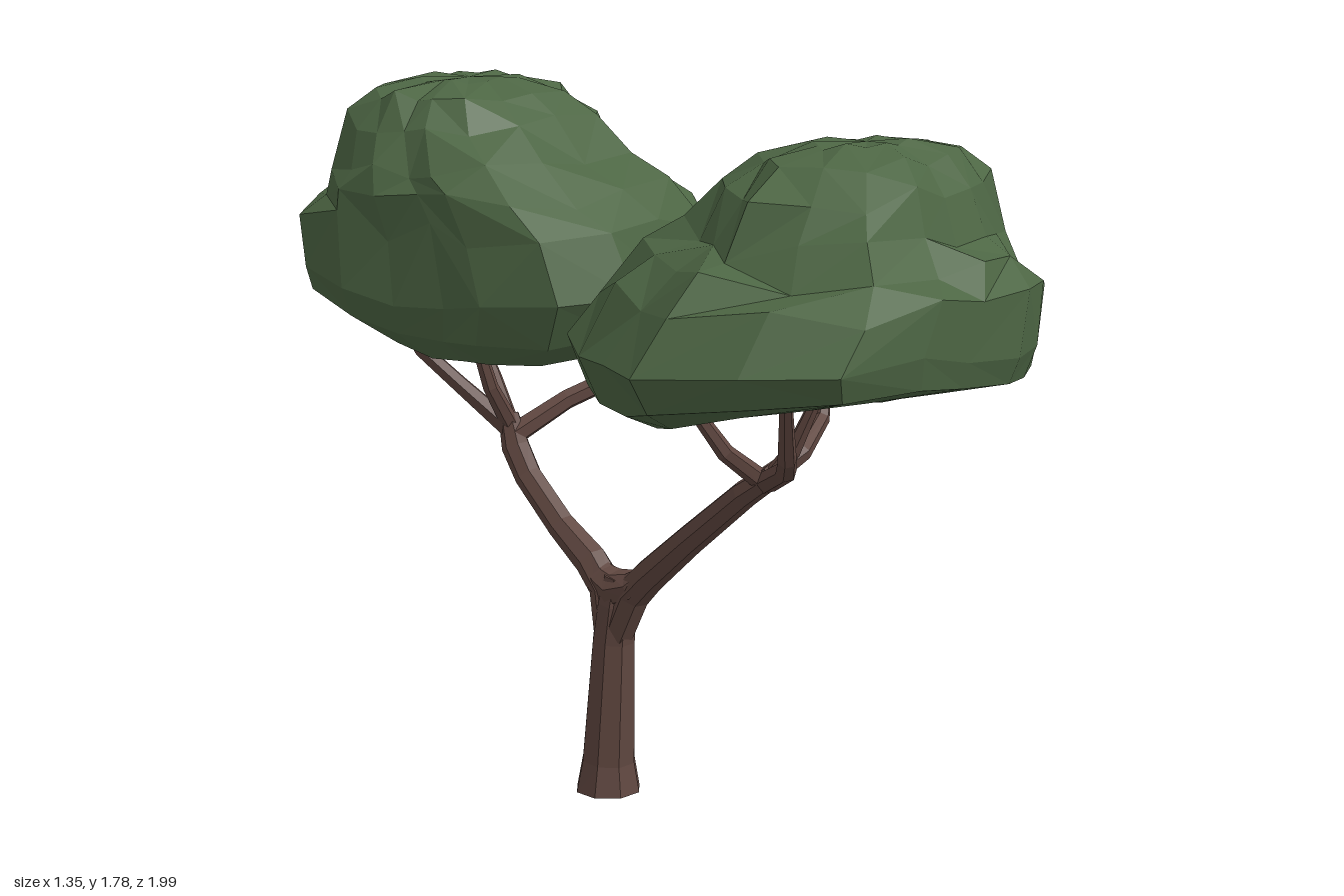
import * as THREE from 'three';

const V = (x, y, z) => new THREE.Vector3(x, y, z);

// Small seeded generator for the uneven leaf surface
function seeded(seed) {
  return () => (seed = (seed * 16807) % 2147483647) / 2147483647;
}

// Skins closed rings (counter-clockwise about the path) with flat facets and end caps
function loft(rings, flip = () => false) {
  const pos = [];
  const tri = (...pts) => pts.forEach((p) => pos.push(p.x, p.y, p.z));
  const middle = (ring) => ring.reduce((s, p) => s.add(p), V(0, 0, 0)).divideScalar(ring.length);
  const n = rings[0].length;
  const first = rings[0], last = rings[rings.length - 1];
  const c0 = middle(first), c1 = middle(last);
  for (let j = 0; j < n; j++) {
    const k = (j + 1) % n;
    tri(c0, first[k], first[j]);
    tri(c1, last[j], last[k]);
    for (let i = 0; i < rings.length - 1; i++) {
      const a = rings[i][j], b = rings[i][k], c = rings[i + 1][j], d = rings[i + 1][k];
      if (flip()) { tri(a, b, c); tri(b, d, c); } else { tri(a, b, d); tri(a, d, c); }
    }
  }
  const geo = new THREE.BufferGeometry();
  geo.setAttribute('position', new THREE.Float32BufferAttribute(pos, 3));
  geo.computeVertexNormals();
  return geo;
}

// Tapered limb through points given as [x, y, z, radius]
function limb(points, sides = 7) {
  const p = points.map(([x, y, z]) => V(x, y, z));
  let u = V(0.9, 0.1, 0.4);
  const rings = p.map((c, i) => {
    const ahead = p[Math.min(i + 1, p.length - 1)], behind = p[Math.max(i - 1, 0)];
    const t = i === 0 && points[0][1] === 0 ? V(0, 1, 0) : ahead.clone().sub(behind).normalize();
    u = u.clone().addScaledVector(t, -u.dot(t)).normalize();
    const v = t.clone().cross(u);
    return Array.from({ length: sides }, (_, j) => {
      const a = (j / sides) * Math.PI * 2, r = points[i][3];
      return c.clone().addScaledVector(u, r * Math.cos(a)).addScaledVector(v, r * Math.sin(a));
    });
  });
  return loft(rings);
}

// Plan outline of the crown, as x and z
const OUTLINE = [
  [-0.31, 0], [-0.47, 0.2], [-0.57, 0.38], [-0.68, 0.56], [-0.6, 0.79], [-0.49, 0.97],
  [-0.25, 1], [-0.08, 0.99], [0.1, 0.99], [0.26, 0.92], [0.42, 0.82], [0.48, 0.6],
  [0.45, 0.44], [0.42, 0.3], [0.41, 0.18], [0.33, 0], [0.12, -0.05], [-0.08, -0.03],
];

// Crown levels: y, x range, z range, roughness across, roughness in height
const LEVELS = [
  [1.04, -0.48, 0.37, 0.1, 0.78, 0, 0],
  [1.09, -0.64, 0.45, 0.01, 0.98, 0.02, 0.02],
  [1.19, -0.68, 0.48, -0.05, 1, 0.02, 0.05],
  [1.34, -0.59, 0.48, 0, 1, 0.03, 0.06],
  [1.42, -0.48, 0.48, 0.09, 0.94, 0.08, 0.06],
  [1.48, -0.41, 0.46, 0.19, 0.87, 0.08, 0.06],
  [1.58, -0.35, 0.41, 0.29, 0.83, 0.08, 0.05],
  [1.645, -0.24, 0.35, 0.35, 0.76, 0.06, 0.03],
  [1.675, -0.1, 0.2, 0.47, 0.68, 0.03, 0.02],
];

function crownGeometry(seed) {
  const rnd = seeded(seed);
  const rings = LEVELS.map(([y, x0, x1, z0, z1, across, height], i) => {
    const cx = (x0 + x1) / 2, cz = (z0 + z1) / 2;
    const tilt = Math.max(0, 1 - i / 4);
    return OUTLINE.map(([ox, oz]) => {
      const nx = (ox + 0.1) / 0.58, nz = (oz - 0.475) / 0.525;
      const x = cx + (nx * (x1 - x0)) / 2, z = cz + (nz * (z1 - z0)) / 2;
      // The upper levels are cut back at one outer corner
      const cut = i < 4 ? 0 : 0.15 * Math.max(0, nx) * Math.max(0, nz);
      const s = 1 - cut + across * (rnd() - (i < 4 ? 1 : 0.5));
      // Underside rises towards the outer end and the long lobe
      const lift = tilt * (0.13 * Math.max(0, (z - 0.45) / 0.55) ** 0.7 - 0.06 * x);
      return V(cx + (x - cx) * s, y + lift + (rnd() - 0.5) * height, cz + (z - cz) * s);
    });
  });
  return loft(rings, () => rnd() < 0.5);
}

export function createModel() {
  const bark = new THREE.MeshStandardMaterial({ color: 0x604740 });
  const leaves = new THREE.MeshStandardMaterial({ color: 0x4d6644 });
  bark.name = 'bark';
  leaves.name = 'leaves';

  const model = new THREE.Group();
  model.name = 'tree';
  const add = (name, geo, mat) => {
    const mesh = new THREE.Mesh(geo, mat);
    mesh.name = name;
    model.add(mesh);
    return mesh;
  };

  // Trunk with flared foot
  add('trunk', limb([
    [-0.025, 0, -0.145, 0.085], [-0.025, 0.08, -0.143, 0.07], [-0.03, 0.4, -0.118, 0.056],
    [-0.035, 0.5, -0.1, 0.052], [-0.035, 0.57, -0.09, 0.042],
  ], 8), bark);

  // Swelling that fills the fork
  add('fork', limb([
    [-0.035, 0.585, 0, 0.03], [-0.035, 0.55, -0.035, 0.045], [-0.035, 0.53, -0.1, 0.054],
    [-0.035, 0.55, -0.15, 0.045], [-0.035, 0.585, -0.19, 0.03],
  ], 8), bark);

  // Two main boughs
  add('frontBough', limb([
    [-0.035, 0.42, -0.105, 0.045], [-0.035, 0.53, -0.05, 0.046], [-0.035, 0.585, 0.005, 0.043],
    [-0.035, 0.7, 0.14, 0.038], [-0.03, 0.84, 0.31, 0.034], [-0.03, 0.9, 0.4, 0.028],
  ]), bark);
  add('backBough', limb([
    [-0.035, 0.42, -0.12, 0.045], [-0.035, 0.53, -0.135, 0.046], [-0.035, 0.59, -0.19, 0.043],
    [-0.03, 0.66, -0.3, 0.037], [-0.03, 0.77, -0.42, 0.036], [-0.03, 0.84, -0.465, 0.037],
    [-0.03, 0.92, -0.49, 0.027],
  ]), bark);

  // Branches reaching into each crown
  const branches = {
    frontBranch: [
      [[-0.03, 0.86, 0.34, 0.03], [0.12, 0.925, 0.36, 0.023], [0.25, 0.98, 0.31, 0.021], [0.3, 1.08, 0.28, 0.016]],
      [[-0.03, 0.88, 0.38, 0.028], [-0.15, 0.95, 0.54, 0.025], [-0.2, 0.99, 0.585, 0.022], [-0.27, 1.13, 0.64, 0.015]],
      [[-0.03, 0.88, 0.37, 0.025], [-0.13, 0.96, 0.34, 0.021], [-0.2, 1.09, 0.28, 0.015]],
      [[-0.03, 0.88, 0.38, 0.024], [-0.01, 0.96, 0.44, 0.02], [0.01, 1.08, 0.49, 0.014]],
    ],
    backBranch: [
      [[-0.03, 0.87, -0.47, 0.03], [0.1, 0.95, -0.41, 0.026], [0.24, 1.01, -0.34, 0.025], [0.27, 1.07, -0.27, 0.02], [0.29, 1.17, -0.2, 0.015]],
      [[0.22, 1, -0.35, 0.021], [0.28, 1.07, -0.43, 0.019], [0.3, 1.18, -0.49, 0.014]],
      [[-0.03, 0.88, -0.48, 0.028], [-0.1, 0.99, -0.59, 0.023], [-0.16, 1.08, -0.67, 0.021], [-0.2, 1.22, -0.74, 0.016]],
      [[-0.03, 0.88, -0.48, 0.027], [0.01, 1, -0.59, 0.023], [0.03, 1.1, -0.68, 0.022], [0.03, 1.23, -0.72, 0.017]],
      [[-0.03, 0.89, -0.48, 0.024], [-0.1, 1, -0.48, 0.02], [-0.15, 1.18, -0.5, 0.014]],
    ],
  };
  for (const [name, paths] of Object.entries(branches)) {
    paths.forEach((path, i) => add(name + (i + 1), limb(path, 6), bark));
  }

  // Two crowns: the back one is turned half round and sits higher
  const crown = crownGeometry(4271);
  add('frontCrown', crown, leaves);
  const back = add('backCrown', crown, leaves);
  back.rotation.y = Math.PI;
  back.position.y = 0.095;

  return model;
}
